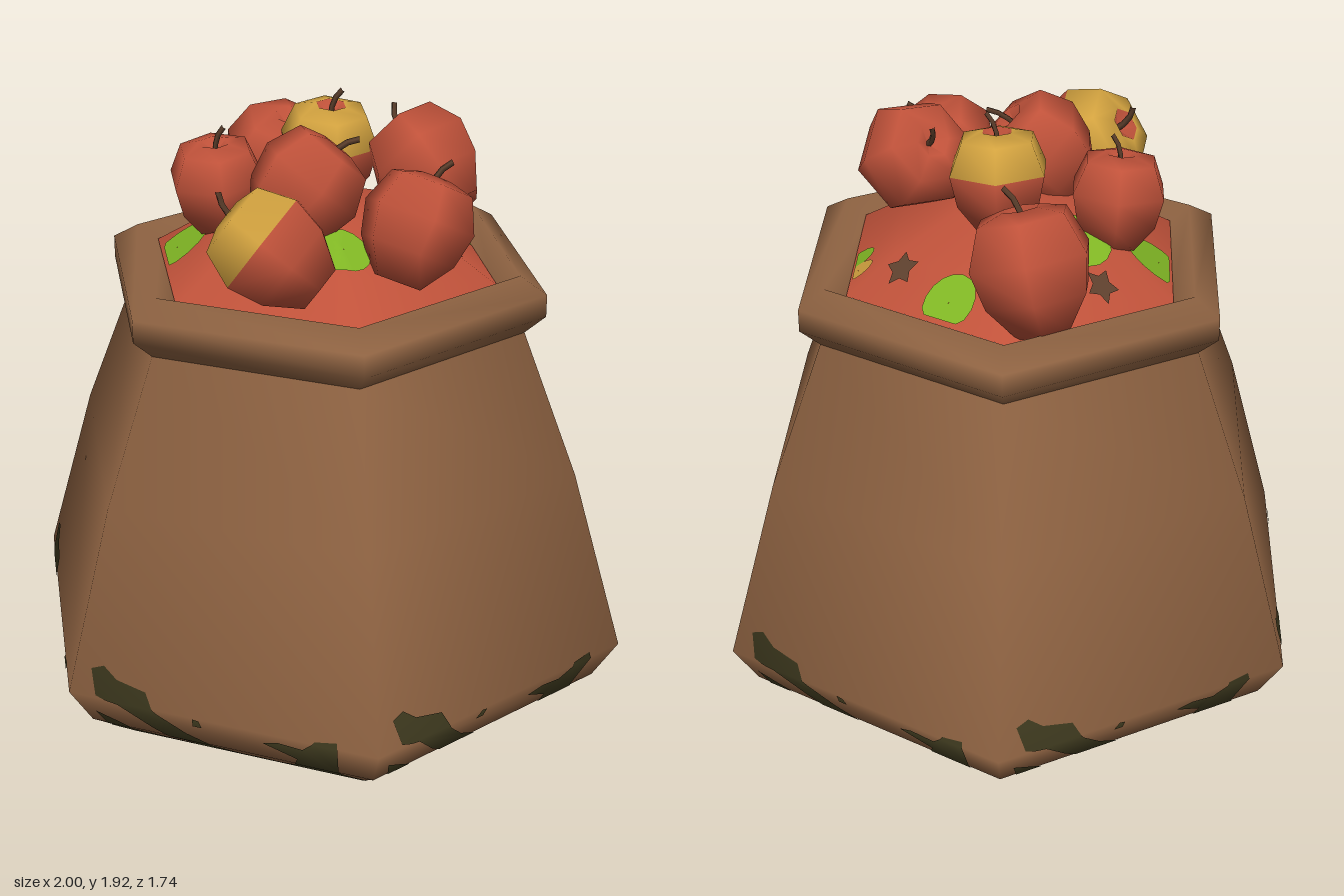
import * as THREE from 'three';

const mat = (name, color) => {
  const m = new THREE.MeshStandardMaterial({ color });
  m.name = name;
  return m;
};
const V2 = (p) => new THREE.Vector2(p[0], p[1]);

// Six-sided turned shape with its corners on the x axis
const hexLathe = (points) => new THREE.LatheGeometry(points.map(V2), 6, Math.PI / 2);

const mesh = (name, geometry, material) => {
  const m = new THREE.Mesh(geometry, material);
  m.name = name;
  return m;
};

// Lower sack profile: height, corner radius, slope of the normal
const LEVELS = [[0, 0.76, -0.82], [0.11, 0.92, -0.7], [0.24, 1, -0.12], [0.81, 0.83, 0.33]];

// Moss outline on one sack face: fraction across, height
const MOSS = [[0, 0], [1, 0], [1, 0.05], [0.93, 0.07], [0.88, 0.12], [0.87, 0.26], [0.8, 0.25],
  [0.76, 0.2], [0.68, 0.21], [0.63, 0.19], [0.74, 0.14], [0.72, 0.08], [0.66, 0.04], [0.58, 0.06],
  [0.5, 0.05], [0.46, 0.1], [0.36, 0.15], [0.29, 0.22], [0.25, 0.29], [0.15, 0.31], [0.1, 0.345],
  [0.06, 0.33], [0.09, 0.25], [0.16, 0.23], [0.24, 0.14], [0.34, 0.07], [0.28, 0.04], [0.2, 0.08],
  [0.12, 0.13], [0.05, 0.17], [0.06, 0.1], [0, 0.06]];
const MOSS_DOT = [[0.4, 0.2], [0.43, 0.2], [0.43, 0.235], [0.41, 0.24]];

// Keep the part of a convex polygon on one side of a height
function clip(poly, h, sign) {
  const out = [];
  poly.forEach((a, i) => {
    const b = poly[(i + 1) % poly.length];
    const da = (a[1] - h) * sign, db = (b[1] - h) * sign;
    if (da >= 0) out.push(a);
    if (da * db < 0) {
      const t = da / (da - db);
      out.push([a[0] + (b[0] - a[0]) * t, h]);
    }
  });
  return out;
}

// Moss laid over all six faces, folded at the profile breaks
function mossGeometry() {
  const pos = [], nor = [];
  const put = ([u, y], k, band) => {
    const [lo, hi] = [LEVELS[band], LEVELS[band + 1]];
    const t = (y - lo[0]) / (hi[0] - lo[0]);
    const r = lo[1] + (hi[1] - lo[1]) * t + 0.004;
    const ny = lo[2] + (hi[2] - lo[2]) * t;
    const a = (k - 0.5) * Math.PI / 3, b = a + Math.PI / 3;
    const dx = Math.sin(a) * (1 - u) + Math.sin(b) * u;
    const dz = Math.cos(a) * (1 - u) + Math.cos(b) * u;
    const flat = Math.sqrt(1 - ny * ny) / Math.hypot(dx, dz);
    pos.push(dx * r, y, dz * r);
    nor.push(dx * flat, ny, dz * flat);
  };
  for (const outline of [MOSS, MOSS_DOT]) {
    const tris = THREE.ShapeUtils.triangulateShape(outline.map(V2), []);
    for (const tri of tris) {
      for (let band = 0; band < 3; band++) {
        const above = clip(tri.map((i) => outline[i]), LEVELS[band][0], 1);
        const p = clip(above, LEVELS[band + 1][0], -1);
        for (let i = 1; i < p.length - 1; i++) {
          for (let k = 0; k < 6; k++) [p[0], p[i], p[i + 1]].forEach((q) => put(q, k, band));
        }
      }
    }
  }
  const g = new THREE.BufferGeometry();
  g.setAttribute('position', new THREE.Float32BufferAttribute(pos, 3));
  g.setAttribute('normal', new THREE.Float32BufferAttribute(nor, 3));
  return g;
}

// Heap of fruit inside the sack: corner radius, height
const HEAP = [[0.56, 1.4], [0.4, 1.5], [0.2, 1.59], [0, 1.62]];
function hexRadius(x, z) {
  let d = 0;
  for (let k = 0; k < 6; k++) {
    const a = k * Math.PI / 3;
    d = Math.max(d, x * Math.sin(a) + z * Math.cos(a));
  }
  return d / Math.cos(Math.PI / 6);
}
function heapHeight(d) {
  for (let i = 0; i < 3; i++) {
    const [a, b] = [HEAP[i], HEAP[i + 1]];
    if (d >= b[0]) return a[1] + (b[1] - a[1]) * (a[0] - d) / (a[0] - b[0]);
  }
  return HEAP[3][1];
}

// Round or star-like spot draped on the heap
function heapSpot(x, z, r, star) {
  const g = new THREE.RingGeometry(0.001, r, star ? 10 : 16, 5).rotateX(-Math.PI / 2);
  const p = g.attributes.position;
  for (let i = 0; i < p.count; i++) {
    const s = star && (i % 11) % 2 ? 0.55 : 1;
    let px = x + p.getX(i) * s, pz = z + p.getZ(i) * s;
    const d = hexRadius(px, pz), f = Math.min(1, 0.55 / d);
    px *= f;
    pz *= f;
    p.setXYZ(i, px, heapHeight(d * f) + 0.007, pz);
  }
  g.computeVertexNormals();
  return g;
}

// Apple profile of radius one, bottom to top
const APPLE = [[0, -0.82], [0.45, -0.95], [0.86, -0.4], [1, 0.2], [0.74, 0.8], [0.3, 0.92], [0, 0.7]];

function apple(mats, [x, y, z, r, axis, yellow]) {
  const g = new THREE.Group();
  g.name = yellow ? 'twoToneApple' : 'apple';
  const body = hexLathe(APPLE);
  if (yellow) {
    // Yellow shoulder between a red base and a red stem hollow
    body.clearGroups();
    const parts = APPLE.length - 1;
    const index = body.index.array;
    for (let i = 0; i < index.length; i += 6) {
      const row = (i / 6) % parts;
      body.addGroup(i, 6, row === 3 || row === 4 ? 1 : 0);
    }
  }
  g.add(mesh('appleBody', body, yellow ? [mats.red, mats.yellow] : mats.red));
  const curve = new THREE.QuadraticBezierCurve3(
    new THREE.Vector3(0, 0.68, 0), new THREE.Vector3(0, 1.05, 0), new THREE.Vector3(0.2, 1.25, -0.05));
  g.add(mesh('stem', new THREE.TubeGeometry(curve, 3, 0.055, 4), mats.stem));
  g.scale.setScalar(r);
  g.position.set(x, y, z);
  g.quaternion.setFromUnitVectors(new THREE.Vector3(0, 1, 0), new THREE.Vector3(...axis).normalize());
  return g;
}

export function createModel() {
  const mats = {
    sack: mat('sack brown', 0x8f6342),
    moss: mat('moss', 0x443f22),
    red: mat('apple red', 0xc0523a),
    yellow: mat('apple yellow', 0xd2a23f),
    green: mat('apple green', 0x80b624),
    stem: mat('stem brown', 0x5c3f2c),
  };
  const model = new THREE.Group();
  model.name = 'sackOfApples';

  // Sack, base and rolled rim
  model.add(mesh('sackBody', hexLathe([...LEVELS.map(([y, r]) => [r, y]), [0.65, 1.26]]), mats.sack));
  model.add(mesh('sackBase', new THREE.CircleGeometry(0.76, 6).rotateX(Math.PI / 2), mats.sack));
  model.add(mesh('sackRim', hexLathe(
    [[0.64, 1.25], [0.715, 1.32], [0.715, 1.39], [0.63, 1.44], [0.55, 1.39]]), mats.sack));
  model.add(mesh('mossStains', mossGeometry(), mats.moss));

  // Heap with coloured spots
  model.add(mesh('appleHeap', hexLathe(HEAP), mats.red));
  for (const [x, z, r] of [[-0.05, -0.43, 0.08], [-0.27, -0.05, 0.09], [-0.43, 0.14, 0.1],
    [0.16, 0.25, 0.08], [0.37, -0.3, 0.05]]) {
    model.add(mesh('greenSpot', heapSpot(x, z, r, false), mats.green));
  }
  model.add(mesh('yellowSpot', heapSpot(0.32, -0.37, 0.045, false), mats.yellow));
  for (const [x, z] of [[0.15, -0.38], [-0.39, -0.13], [0.4, 0.0]]) {
    model.add(mesh('leafSpot', heapSpot(x, z, 0.05, true), mats.stem));
  }

  // Loose apples: position, radius, stem direction, two-tone
  const apples = [
    [-0.28, 1.58, -0.34, 0.195, [0.3, 0.93, 0.12], false],
    [-0.03, 1.72, -0.13, 0.16, [0.08, 1, 0.08], true],
    [0.29, 1.71, -0.12, 0.175, [-0.7, 0.6, -0.3], false],
    [-0.31, 1.64, 0.09, 0.155, [0, 1, 0.12], false],
    [0.0, 1.69, 0.165, 0.175, [0.5, 0.72, -0.4], false],
    [0.35, 1.61, 0.16, 0.175, [0.2, 0.85, -0.42], false],
    [0.02, 1.6, 0.46, 0.182, [-0.8, 0.58, 0.08], true],
  ];
  for (const a of apples) model.add(apple(mats, a));
  return model;
}
